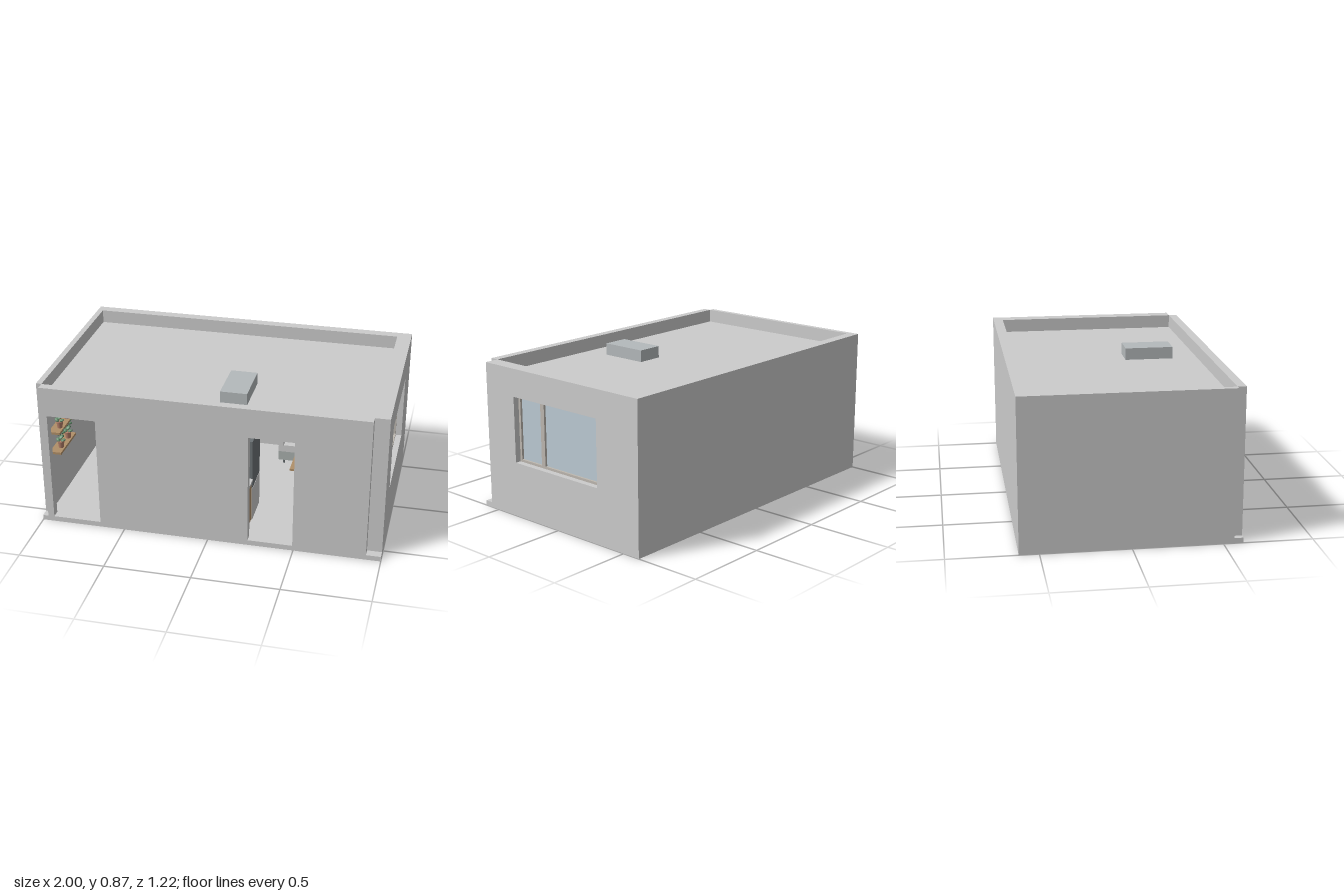
import * as THREE from 'three';

const mats = {};
const mat = (color) => (mats[color] ??= new THREE.MeshStandardMaterial({ color }));
const GREY = 0xcccccc, WOOD = 0xb08f68, GREEN = 0x5f8a68, DARK = 0x6c7275, GLASS = 0xbccbd4, CLAY = 0xb5806a;

function add(group, name, geometry, color = GREY) {
  const mesh = new THREE.Mesh(geometry, mat(color));
  mesh.name = name;
  group.add(mesh);
  return mesh;
}

// Box given by its extents on each axis
function box(group, name, [x0, x1], [y0, y1], [z0, z1], color) {
  const mesh = add(group, name, new THREE.BoxGeometry(x1 - x0, y1 - y0, z1 - z0), color);
  mesh.position.set((x0 + x1) / 2, (y0 + y1) / 2, (z0 + z1) / 2);
  return mesh;
}

function rect(Type, u0, u1, v0, v1) {
  const path = new Type();
  path.moveTo(u0, v0);
  path.lineTo(u1, v0);
  path.lineTo(u1, v1);
  path.lineTo(u0, v1);
  path.closePath();
  return path;
}

// Slab with rectangular openings, extruded along z
function panel(outline, holes, depth) {
  const shape = rect(THREE.Shape, ...outline);
  for (const h of holes) shape.holes.push(rect(THREE.Path, ...h));
  return new THREE.ExtrudeGeometry(shape, { depth, bevelEnabled: false });
}

function part(parent, name) {
  const g = new THREE.Group();
  g.name = name;
  parent.add(g);
  return g;
}

function legs(g, xs, zs, y0, y1, r, color) {
  for (const x of xs) for (const z of zs) box(g, 'leg', [x - r, x + r], [y0, y1], [z - r, z + r], color);
}

export function createModel() {
  const root = new THREE.Group();
  root.name = 'house';

  // Shell: floor, walls, sunken roof and roof vent
  const shell = part(root, 'shell');
  const H = 0.87, F = 0.03;
  box(shell, 'floorSlab', [-1, 1], [0, F], [-0.61, 0.61]);
  box(shell, 'backWall', [-1, 1], [F, H], [-0.61, -0.55]);
  box(shell, 'leftEndWall', [-1, -0.967], [F, H], [-0.55, 0.56]);
  box(shell, 'roof', [-0.967, 0.915], [0.755, 0.79], [-0.55, 0.56]);
  box(shell, 'roofVent', [0.03, 0.185], [0.79, 0.86], [0.125, 0.41], 0xb4b9bb);

  const front = panel([-0.967, 0.915, F, H],
    [[-0.93, -0.645, F + 0.001, 0.695], [0.235, 0.495, F + 0.001, 0.695]], 0.05);
  add(shell, 'frontWall', front).position.z = 0.56;

  // Window wall: shape u runs along -z once turned to face +x
  const side = panel([-0.56, 0.55, F, H], [[-0.335, 0.31, 0.322, 0.708]], 0.085);
  const windowWall = add(shell, 'windowWall', side);
  windowWall.rotation.y = Math.PI / 2;
  windowWall.position.x = 0.915;

  // Recessed window with one narrow and one wide pane
  const win = part(root, 'window');
  const panes = [[-0.32, -0.157, 0.336, 0.694], [-0.128, 0.296, 0.336, 0.694]];
  const frame = add(win, 'windowFrame', panel([-0.335, 0.31, 0.322, 0.708], panes, 0.03), 0xbdb8b0);
  frame.rotation.y = Math.PI / 2;
  frame.position.x = 0.935;
  for (const [u0, u1, y0, y1] of panes) box(win, 'glass', [0.945, 0.952], [y0, y1], [-u1, -u0], GLASS);

  // Wall shelves with potted plants
  const shelves = part(root, 'plantShelves');
  for (const y of [0.4, 0.53]) {
    box(shelves, 'shelf', [-0.965, -0.895], [y, y + 0.014], [0.26, 0.52], WOOD);
    for (const z of [0.33, 0.45]) {
      const pot = add(shelves, 'pot', new THREE.CylinderGeometry(0.02, 0.015, 0.04, 12), CLAY);
      pot.position.set(-0.918, y + 0.034, z);
      for (let i = 0; i < 9; i++) {
        const a = i * 2.4;
        const leaf = add(shelves, 'leaf', new THREE.SphereGeometry(0.016, 8, 6), GREEN);
        leaf.scale.set(1, 0.45, 0.8);
        leaf.rotation.set(0.4 * Math.sin(a), a, 0.4);
        leaf.position.set(-0.918 + 0.014 * Math.cos(a), y + 0.06 + i * 0.009, z + 0.02 * Math.sin(a));
      }
    }
  }
  box(shelves, 'topShelf', [-0.965, -0.9], [0.67, 0.69], [0.26, 0.52], CLAY);

  // Dining table with chairs on both sides
  const dining = part(root, 'diningTable');
  box(dining, 'tableTop', [-0.67, -0.35], [0.27, 0.282], [-0.2, 0.2], WOOD);
  legs(dining, [-0.655, -0.365], [-0.18, 0.18], F, 0.27, 0.006, WOOD);
  for (const [cx, s] of [[-0.72, 1], [-0.3, -1]]) for (const z of [-0.1, 0.1]) {
    const chair = part(root, 'chair');
    box(chair, 'seat', [-0.06, 0.06], [0.175, 0.185], [-0.06, 0.06], WOOD);
    box(chair, 'backrest', [-0.06, -0.047], [0.185, 0.305], [-0.06, 0.06], WOOD);
    legs(chair, [-0.04, 0.05], [-0.05, 0.05], F, 0.175, 0.004, DARK);
    chair.position.set(cx, 0, z);
    chair.rotation.y = s > 0 ? 0 : Math.PI;
  }

  // Kitchen run behind the front wall, with a tall unit at its end
  const kitchen = part(root, 'kitchen');
  box(kitchen, 'baseCabinet', [-0.45, 0.215], [0.05, 0.3], [0.405, 0.56], WOOD);
  box(kitchen, 'plinth', [-0.45, 0.205], [F, 0.05], [0.42, 0.56], DARK);
  box(kitchen, 'worktop', [-0.46, 0.22], [0.3, 0.315], [0.4, 0.56]);
  box(kitchen, 'hob', [0.03, 0.19], [0.315, 0.322], [0.42, 0.54], DARK);
  for (const x of [0.07, 0.15]) {
    const pan = add(kitchen, 'pan', new THREE.CylinderGeometry(0.028, 0.025, 0.03, 16), DARK);
    pan.position.set(x, 0.337, 0.48);
  }
  box(kitchen, 'hood', [0.04, 0.18], [0.56, 0.6], [0.42, 0.56]);
  box(kitchen, 'hoodDuct', [0.08, 0.14], [0.6, 0.755], [0.48, 0.54]);
  box(kitchen, 'tallUnitBase', [0.03, 0.215], [F, 0.24], [0.18, 0.39]);
  box(kitchen, 'tallUnitTop', [0.03, 0.215], [0.245, 0.55], [0.18, 0.39], DARK);

  // Sofa against the back wall, with a dark panel above it
  const sofa = part(root, 'sofa');
  box(sofa, 'base', [0.24, 0.85], [0.065, 0.125], [-0.53, -0.3], 0xa9b0ae);
  box(sofa, 'sofaBack', [0.27, 0.82], [0.125, 0.31], [-0.54, -0.48]);
  for (const x of [0.24, 0.82]) box(sofa, 'arm', [x, x + 0.03], [0.125, 0.24], [-0.53, -0.3]);
  for (const x of [0.272, 0.547]) box(sofa, 'cushion', [x, x + 0.272], [0.125, 0.17], [-0.48, -0.3]);
  legs(sofa, [0.27, 0.82], [-0.5, -0.33], F, 0.065, 0.006, DARK);
  box(root, 'wallPanel', [0.28, 0.82], [0.37, 0.695], [-0.55, -0.535], DARK);

  // Low table in front of the sofa
  const low = part(root, 'lowTable');
  box(low, 'lowTableTop', [0.365, 0.68], [0.165, 0.178], [-0.18, 0], WOOD);
  legs(low, [0.42, 0.63], [-0.16, -0.02], F, 0.165, 0.005, DARK);

  return root;
}
